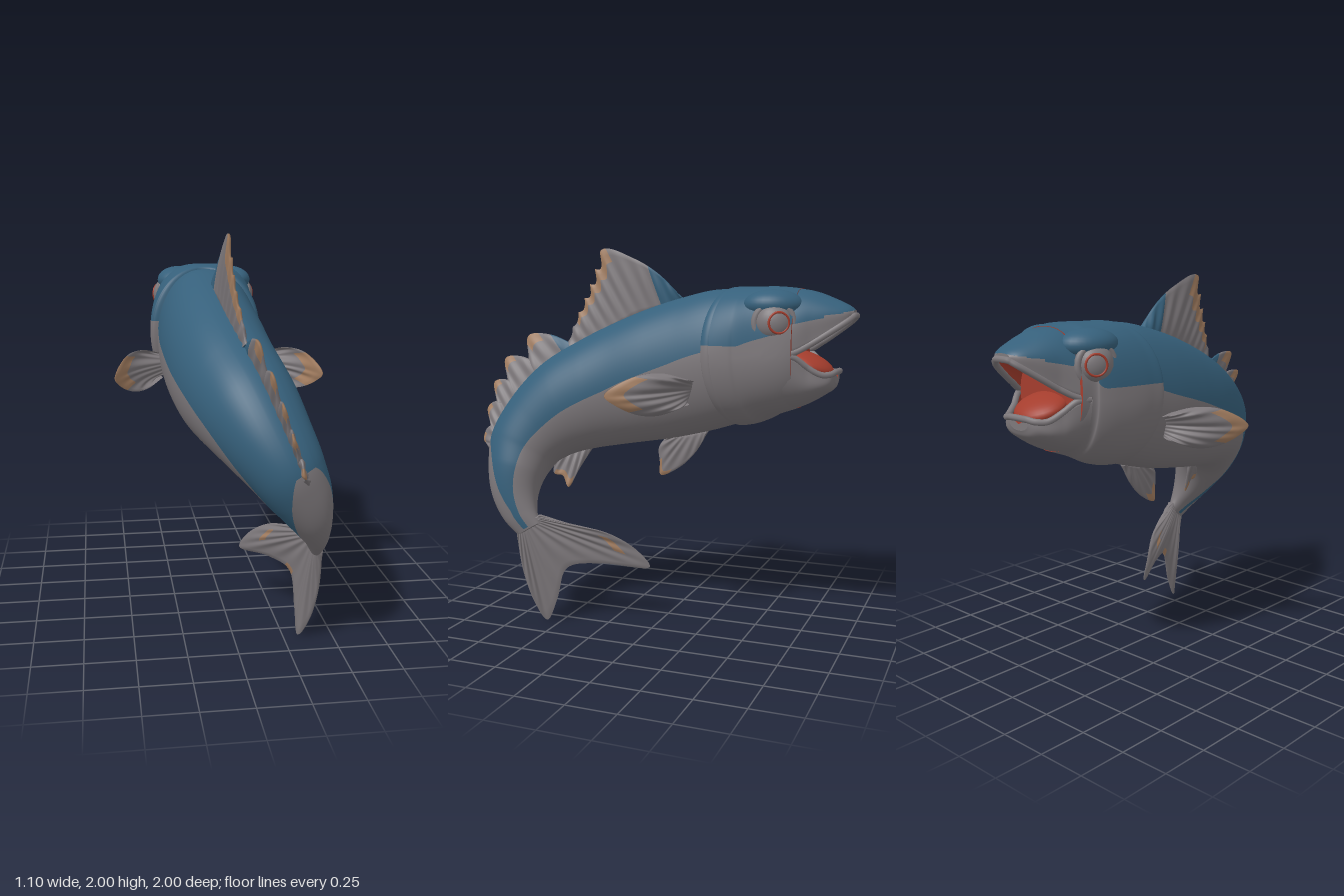
import * as THREE from 'three';

const mat = (name, color) => {
  const m = new THREE.MeshStandardMaterial({ color });
  m.name = name;
  return m;
};
const V = (x, y, z) => new THREE.Vector3(x, y, z);
const points = (list) => list.map((p) => V(...p));
const curve = (pts) => new THREE.CatmullRomCurve3(pts);
const lerp = THREE.MathUtils.lerp;
const clamp01 = (t) => Math.min(1, Math.max(0, t));
const power = (s, e) => Math.sign(s) * Math.abs(s) ** e;

export function createModel() {
  const fish = new THREE.Group();
  fish.name = 'fish';
  const blue = mat('blueBack', 0x36607b);
  const grey = mat('greyBelly', 0x7d787b);
  const red = mat('redMouth', 0xa43d2d);
  const tan = mat('tanFinEdge', 0xa27d60);
  const mats = [blue, grey, red, tan];
  const [BLUE, GREY, RED, TAN] = [0, 1, 2, 3];

  // Closed skin over a row of rings; pick(i, j, centre) gives each face its colour (i = -1, -2 are the end caps)
  function skin(name, rings, pick) {
    const n = rings[0].length, pos = rings.flat();
    const faces = mats.map(() => []);
    let volume = 0;
    const tri = (m, a, b, c) => {
      faces[m].push(a, b, c);
      volume += pos[a].dot(V(0, 0, 0).crossVectors(pos[b], pos[c]));
    };
    for (let i = 0; i < rings.length - 1; i++) for (let j = 0; j < n; j++) {
      const a = i * n + j, b = i * n + (j + 1) % n, c = a + n, d = b + n;
      const m = pick(i, j, pos[a].clone().add(pos[d]).multiplyScalar(0.5));
      tri(m, a, b, c);
      tri(m, b, d, c);
    }
    [0, rings.length - 1].forEach((r, k) => {
      const mid = V(0, 0, 0);
      rings[r].forEach((p) => mid.addScaledVector(p, 1 / n));
      const m = pick(-1 - k, 0, mid), base = pos.length;
      pos.push(...rings[r].map((p) => p.clone()), mid);
      for (let j = 0; j < n; j++) {
        const a = base + j, b = base + (j + 1) % n;
        if (k) tri(m, a, b, base + n); else tri(m, b, a, base + n);
      }
    });
    const geo = new THREE.BufferGeometry().setFromPoints(pos);
    const index = [];
    faces.forEach((f, m) => {
      if (volume < 0) f.reverse();
      if (f.length) geo.addGroup(index.length, f.length, m);
      for (const v of f) index.push(v);
    });
    geo.setIndex(index);
    geo.computeVertexNormals();
    const mesh = new THREE.Mesh(geo, mats);
    mesh.name = name;
    fish.add(mesh);
  }

  // Oval sections: [top y, z, x, bottom y, z, x, half width, rearward bulge of the sides, squareness of the top].
  // edges() gives the heights of the two colour borders, which ring points HI and LO follow.
  const N = 72, HI = 6, LO = 18;
  function ovalRings(secs, steps, edges) {
    const top = curve(secs.map((s) => V(s[2], s[0], s[1])));
    const bottom = curve(secs.map((s) => V(s[5], s[3], s[4])));
    const size = curve(secs.map((s) => V(s[6], s[7] || 0, s[8] || 0)));
    const mid = (u) => top.getPoint(clamp01(u)).add(bottom.getPoint(clamp01(u))).multiplyScalar(0.5);
    const rings = [];
    for (let i = 0; i <= steps; i++) {
      const u = i / steps, c = mid(u), up = top.getPoint(u).sub(c), s = size.getPoint(u);
      const side = mid(u + 0.01).sub(mid(u - 0.01)).cross(up).normalize();
      const ex = 0.88 - 0.2 * s.z, ey = 1 - 0.4 * s.z;
      const [hi, lo] = edges(u, c, up).map((h) => Math.acos(h > 0 ? h ** (1 / ey) : h));
      const angle = (j) => (j > N / 2 ? -angle(N - j) : j < HI ? hi * j / HI
        : j < LO ? lerp(hi, lo, (j - HI) / (LO - HI)) : lerp(lo, Math.PI, (j - LO) / (N / 2 - LO)));
      rings.push(Array.from({ length: N }, (_, j) => {
        const sin = Math.sin(angle(j)), cos = Math.cos(angle(j));
        const p = c.clone().addScaledVector(up, cos > 0 ? cos ** ey : cos)
          .addScaledVector(side, s.x * power(sin, cos > 0 ? ex : 0.88));
        p.z += s.y * Math.abs(sin);
        return p;
      }));
    }
    return { rings, top };
  }
  const fromTop = (j) => Math.min(j, N - 1 - j);

  // Body, curling down and sideways to the tail
  const bodySecs = [
    [1.78, -0.45, -0.03, 1.10, -0.42, -0.03, 0.27], [1.785, -0.27, -0.03, 1.05, -0.26, -0.03, 0.275],
    [1.75, -0.10, -0.03, 1.00, -0.06, -0.03, 0.278], [1.69, 0.10, -0.015, 0.97, 0.12, -0.02, 0.276],
    [1.61, 0.30, 0.01, 0.945, 0.28, 0, 0.268], [1.51, 0.50, 0.05, 0.925, 0.40, 0.04, 0.258],
    [1.38, 0.70, 0.11, 0.905, 0.48, 0.08, 0.24], [1.20, 0.85, 0.18, 0.88, 0.54, 0.13, 0.212],
    [1.00, 0.935, 0.26, 0.84, 0.595, 0.195, 0.18], [0.84, 0.925, 0.318, 0.78, 0.625, 0.258, 0.152],
    [0.68, 0.88, 0.362, 0.70, 0.635, 0.315, 0.106], [0.56, 0.80, 0.387, 0.62, 0.62, 0.355, 0.062],
    [0.48, 0.71, 0.39, 0.555, 0.59, 0.375, 0.03],
  ];
  const STEPS = 120;
  const body = ovalRings(bodySecs, STEPS, (u) => {
    const k = u * 12, low = 0.2 - 0.4 * clamp01(k / 8);
    return [lerp(0.96, 0.2, clamp01((k - 8.2) / 2.6)), low];
  });
  skin('body', body.rings, (i, j) => {
    const k = i / STEPS * 12;
    return i >= 0 && k < 11.9 && fromTop(j) < LO && (k < 8.2 || fromTop(j) >= HI) ? BLUE : GREY;
  });

  // Head with raised gill covers and a broad, squarish forehead
  const backLine = (z) => (z > -0.55 ? 1.51 : z > -0.72 ? lerp(1.62, 1.51, (z + 0.72) / 0.17) : lerp(1.685, 1.62, (z + 1) / 0.28));
  const headColour = (p) => (p.y > backLine(p.z) ? BLUE : GREY);
  const head = ovalRings([
    [1.79, -0.72, 0, 1.19, -0.72, 0, 0.24, 0, 0.25], [1.80, -0.61, 0, 1.15, -0.61, 0, 0.268, 0, 1],
    [1.80, -0.49, -0.025, 1.105, -0.52, -0.025, 0.293, 0.03, 0.6], [1.80, -0.40, -0.035, 1.085, -0.45, -0.035, 0.305, 0.09, 0.1],
    [1.795, -0.37, -0.035, 1.085, -0.42, -0.035, 0.30, 0.12, 0], [1.76, -0.36, -0.035, 1.12, -0.41, -0.035, 0.26, 0.12, 0],
  ], 40, (u, c, up) => {
    const low = (backLine(c.z) - c.y) / up.y;
    return [lerp(1, low, 0.2), low];
  });
  skin('head', head.rings, (i, j) => (i === -1 ? RED : fromTop(j) < LO ? BLUE : GREY));

  // Jaws: hollow half domes, tucked in at the lips, with a red lining; sections are [z, rim y, outer y, half width]
  function jaw(name, secs) {
    const M = 40, steps = 28;
    const rim = curve(secs.map((s) => V(s[3], s[1], s[0])));
    const outer = curve(secs.map((s) => V(0, s[2], s[0])));
    const rings = [], lips = [[], []];
    for (let i = 0; i <= steps; i++) {
      const r = rim.getPoint(i / steps), h = outer.getPoint(i / steps).y - r.y, ring = [];
      const tuck = 0.16 * clamp01(i / steps * 2.5);
      for (let j = 0; j <= M; j++) {
        const a = (j / M - 0.5) * Math.PI, sin = Math.sin(a);
        ring.push(V(r.x * power(sin, 0.8) * (1 - tuck * sin ** 8), r.y + h * Math.cos(a), r.z));
      }
      for (let j = M; j >= 0; j--) {
        const a = (j / M - 0.5) * Math.PI;
        ring.push(V((0.9 - tuck) * r.x * Math.sin(a), r.y + 0.6 * h * Math.cos(a), r.z));
      }
      rings.push(ring);
      lips[0].push(V(r.x * (0.96 - tuck), r.y, r.z));
      lips[1].unshift(V(-r.x * (0.96 - tuck), r.y, r.z));
    }
    skin(name, rings, (i, j, p) => (i === -1 || (i >= 0 && j > M && j < 2 * M + 1) ? RED : headColour(p)));
    const lip = new THREE.Mesh(new THREE.TubeGeometry(curve([...lips[0], ...lips[1]]), 90, 0.016, 8), grey);
    lip.name = name + 'Lip';
    fish.add(lip);
  }
  jaw('upperJaw', [[-0.67, 1.465, 1.788, 0.25], [-0.73, 1.48, 1.786, 0.236], [-0.80, 1.52, 1.772, 0.206],
    [-0.89, 1.58, 1.738, 0.158], [-0.96, 1.63, 1.705, 0.105], [-0.986, 1.655, 1.685, 0.06]]);
  jaw('lowerJaw', [[-0.67, 1.465, 1.18, 0.25], [-0.73, 1.455, 1.197, 0.238], [-0.79, 1.405, 1.225, 0.213],
    [-0.85, 1.37, 1.262, 0.175], [-0.89, 1.37, 1.29, 0.13], [-0.905, 1.378, 1.32, 0.075]]);
  const tongue = new THREE.Mesh(new THREE.SphereGeometry(1, 28, 16), red);
  tongue.name = 'tongue';
  tongue.scale.set(0.14, 0.052, 0.13);
  tongue.position.set(0, 1.415, -0.765);
  tongue.rotation.x = -0.4;
  fish.add(tongue);

  // Eyes, with sockets, red rings and brows that merge into the forehead
  for (const s of [1, -1]) {
    const eye = new THREE.Group();
    eye.name = s > 0 ? 'leftEye' : 'rightEye';
    const add = (name, geo, m, x, y, z) => {
      const mesh = new THREE.Mesh(geo, m);
      mesh.name = name;
      mesh.position.set(x, y, z);
      eye.add(mesh);
      return mesh;
    };
    add('eyeball', new THREE.SphereGeometry(0.09, 32, 20), grey, 0, 0, 0).scale.z = 0.75;
    add('socket', new THREE.TorusGeometry(0.094, 0.018, 10, 40), grey, 0, -0.004, 0.008);
    add('irisRing', new THREE.TorusGeometry(0.05, 0.006, 8, 40), red, s * 0.022, 0, 0.053).rotation.y = s * 0.25;
    add('brow', new THREE.SphereGeometry(0.1, 32, 20), blue, 0, 0.085, -0.07).scale.set(1.5, 0.75, 1.1);
    eye.position.set(s * 0.222 - 0.01, 1.625, -0.63);
    eye.rotation.y = Math.atan2(s, -0.3);
    fish.add(eye);
  }

  // Ribbed fin stretched from a root line to an outer edge; options bend it, scallop it and colour its patches
  function fin(name, root, edge, normal, { rays = 8, bend = 0, scallop = 0, from = 0, colour }) {
    const R = curve(root), T = curve(edge), steps = rays * 8, M = 10;
    const n = normal.clone().normalize(), rings = [];
    for (let i = 0; i <= steps; i++) {
      const s = i / steps, r = R.getPoint(s), t = T.getPoint(s);
      const cut = s > from ? scallop * Math.abs(Math.sin(rays * Math.PI * s)) : 0;
      const rib = Math.cos(rays * Math.PI * s) ** 2;
      const at = (v, sign) => r.clone().lerp(t, v * (1 - cut)).addScaledVector(n,
        bend * Math.sin(Math.PI * v) + sign * (0.004 + 0.010 * (1 - v) + 0.009 * rib * Math.sin(Math.PI * v)));
      const ring = [];
      for (let j = 0; j <= M; j++) ring.push(at(j / M, 1));
      for (let j = M; j >= 0; j--) ring.push(at(j / M, -1));
      rings.push(ring);
    }
    skin(name, rings, (i, j) => colour(i / steps, (j <= M ? j : 2 * M + 1 - j) / M));
  }
  const tipped = (a, b, v0) => (s, v) => (s > a && s < b && v > v0 ? TAN : GREY);
  const X = V(1, 0, 0);

  // Tall front dorsal fin
  const ridge = (a, b) => Array.from({ length: 5 }, (_, i) => {
    const p = body.top.getPoint(lerp(a, b, i / 4) / 12);
    p.y -= 0.02;
    p.z -= 0.01;
    return p;
  });
  const dorsalTip = tipped(0.4, 0.86, 0.76);
  fin('dorsalFin', ridge(2.1, 5.2), points([[0, 1.75, -0.07], [0, 1.87, 0.06], [0, 1.95, 0.2], [0, 2.0, 0.38], [0.01, 1.87, 0.43],
    [0.02, 1.75, 0.475], [0.04, 1.63, 0.525], [0.055, 1.5, 0.57]]), X,
  { rays: 11, scallop: 0.13, from: 0.46, colour: (s, v) => (s < 0.2 ? BLUE : dorsalTip(s, v)) });

  // Row of small, overlapping fins down the back
  [[5.1, 6.5, 0.08, 1.535, 0.80], [6.0, 7.2, 0.12, 1.41, 0.925], [6.7, 7.7, 0.16, 1.28, 0.975],
    [7.2, 8.2, 0.2, 1.14, 0.998], [7.7, 8.5, 0.25, 0.97, 1.0]].forEach(([a, b, x, y, z], i) => {
    const r = ridge(a, b), tip = V(x, y, z), rim = tipped(0.36, 0.6, i ? 0.75 : 0.62);
    fin('backFinlet', r, [r[0], r[0].clone().lerp(tip, 0.5).add(V(0, 0.035, 0.015)), tip, r[4].clone().lerp(tip, 0.55), r[4]],
      V(1, 0, -0.3), { rays: 4, colour: (s, v) => (s < 0.25 && i === 0 ? BLUE : rim(s, v)) });
  });

  // Side fins
  for (const s of [1, -1]) {
    const P = (p) => V(s * p[0] - 0.008, p[1], p[2]);
    fin(s > 0 ? 'leftSideFin' : 'rightSideFin', [[0.25, 1.33, -0.22], [0.25, 1.28, -0.21], [0.25, 1.22, -0.19]].map(P),
      [[0.28, 1.34, -0.2], [0.39, 1.375, -0.11], [0.48, 1.36, 0], [0.545, 1.27, 0.13], [0.52, 1.22, 0.08],
        [0.45, 1.17, -0.01], [0.37, 1.165, -0.1], [0.28, 1.21, -0.18]].map(P),
      V(s * 0.76, 0, -0.65), { rays: 8, bend: 0.045, colour: tipped(0.27, 0.65, 0.72) });
  }

  // Belly fin and rear underside fin
  fin('bellyFin', points([[-0.01, 1.04, -0.22], [0, 1.02, -0.12], [0, 1.0, -0.03]]),
    points([[0, 1.03, -0.22], [0, 0.93, -0.16], [0.005, 0.84, -0.07], [0.01, 0.79, 0.04], [0.01, 0.86, 0.045], [0.01, 0.94, 0.05], [0, 0.99, 0.02]]),
    X, { rays: 6, colour: tipped(0.4, 0.68, 0.8) });
  fin('rearUnderFin', points([[0.06, 0.95, 0.42], [0.11, 0.92, 0.5], [0.17, 0.88, 0.58]]),
    points([[0.06, 0.93, 0.42], [0.13, 0.82, 0.47], [0.185, 0.72, 0.515], [0.18, 0.78, 0.55], [0.185, 0.79, 0.6], [0.18, 0.85, 0.6]]),
    V(1, 0.3, -0.3), { rays: 5, colour: tipped(0.3, 0.8, 0.72) });

  // Forked tail fin, slightly twisted
  fin('tailFin', points([[0.39, 0.53, 0.715], [0.382, 0.56, 0.66], [0.372, 0.595, 0.6]]),
    points([[0.41, 0.48, 0.71], [0.405, 0.29, 0.68], [0.375, 0.11, 0.63], [0.33, 0.005, 0.58], [0.325, 0.13, 0.52], [0.31, 0.305, 0.464],
      [0.23, 0.325, 0.3], [0.11, 0.295, 0.067], [0.14, 0.39, 0.13], [0.22, 0.49, 0.26], [0.31, 0.55, 0.45], [0.36, 0.595, 0.58]]),
    V(0.9, 0, -0.4), { rays: 13, colour: (s, v) => ((s > 0.66 && s < 0.76 && v > 0.6 && v < 0.8) || (s > 0.44 && s < 0.48 && v > 0.9) ? TAN : GREY) });

  return fish;
}
